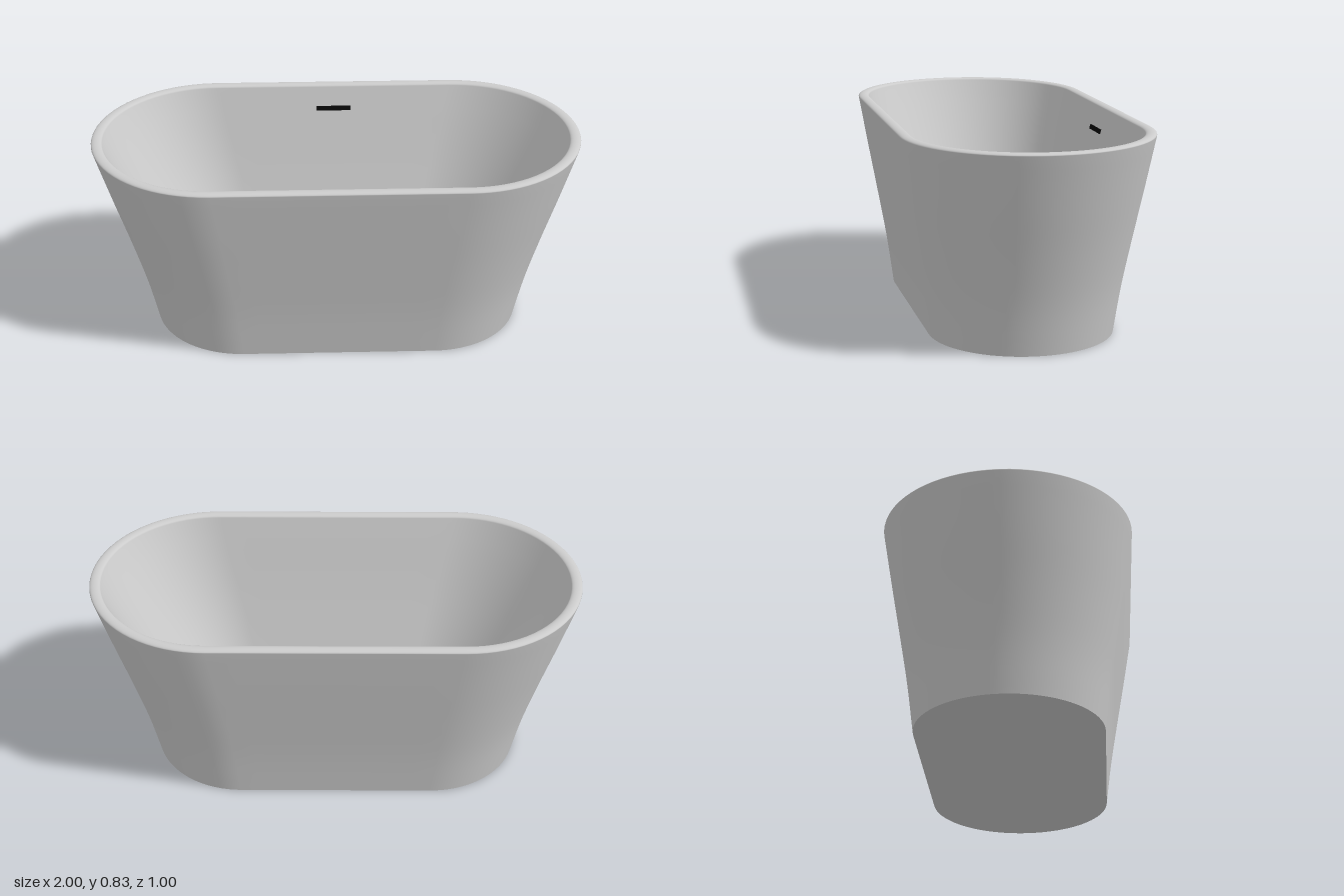
import * as THREE from 'three';

const ARC = 40, STRAIGHT = 10;

// Stadium outline: half-length a, half-width b, semicircular ends
function stadium(a, b) {
  const s = a - b, pts = [];
  for (const side of [1, -1]) {
    for (let i = 0; i <= ARC; i++) {
      const t = -Math.PI / 2 + (Math.PI * i) / ARC;
      pts.push(new THREE.Vector2(side * (s + b * Math.cos(t)), side * b * Math.sin(t)));
    }
    for (let i = 1; i < STRAIGHT; i++) {
      pts.push(new THREE.Vector2(side * s * (1 - (2 * i) / STRAIGHT), side * b));
    }
  }
  return pts;
}

// Smooth skin through stadium sections given as [y, a, b]
function loft(rows) {
  const pos = [], idx = [];
  let n = 0;
  for (const [y, a, b] of rows) {
    const ring = stadium(a, b);
    n = ring.length;
    for (const p of ring) pos.push(p.x, y, p.y);
  }
  for (let r = 0; r < rows.length - 1; r++) {
    for (let i = 0; i < n; i++) {
      const p = r * n + i, q = r * n + ((i + 1) % n);
      idx.push(p, p + n, q, q, p + n, q + n);
    }
  }
  const g = new THREE.BufferGeometry();
  g.setAttribute('position', new THREE.Float32BufferAttribute(pos, 3));
  g.setIndex(idx);
  g.computeVertexNormals();
  return g;
}

// Resample a few sections along a smooth curve
function smoothRows(rows, count) {
  const curve = new THREE.CatmullRomCurve3(rows.map((r) => new THREE.Vector3(...r)));
  return curve.getPoints(count).map((p) => p.toArray());
}

export function createModel() {
  const group = new THREE.Group();
  const grey = new THREE.MeshStandardMaterial({ color: 0xcccccc });
  const add = (name, geometry, material = grey) => {
    const mesh = new THREE.Mesh(geometry, material);
    mesh.name = name;
    group.add(mesh);
    return mesh;
  };

  // Flared outer wall, rounded rim and sloping inner wall as one skin
  const outer = smoothRows([
    [0, 0.77, 0.375], [0.2, 0.815, 0.4], [0.4, 0.872, 0.432],
    [0.6, 0.934, 0.465], [0.82, 1, 0.5],
  ], 16);
  const rim = [];
  for (let i = 1; i < 12; i++) {
    const t = (Math.PI * i) / 12, inset = 0.0225 * (1 - Math.cos(t));
    rim.push([0.82 + 0.01 * Math.sin(t), 1 - inset, 0.5 - inset]);
  }
  const inner = smoothRows([
    [0.82, 0.955, 0.455], [0.73, 0.91, 0.43], [0.5, 0.79, 0.367],
    [0.3, 0.682, 0.307], [0.15, 0.6, 0.26],
  ], 16);
  add('tubShell', loft([...outer, ...rim, ...inner]));

  // Flat basin floor and underside
  add('basinFloor', new THREE.ShapeGeometry(new THREE.Shape(stadium(0.6, 0.26)))
    .rotateX(-Math.PI / 2).translate(0, 0.15, 0));
  add('underside', new THREE.ShapeGeometry(new THREE.Shape(stadium(0.77, 0.375)))
    .rotateX(Math.PI / 2));

  // Drain cover in the middle of the floor
  const drain = add('drain', new THREE.CylinderGeometry(0.036, 0.036, 0.006, 40),
    new THREE.MeshStandardMaterial({ color: 0xc4d2dc }));
  drain.position.y = 0.152;

  // Overflow slot on the back inner wall
  const slot = add('overflowSlot', new THREE.BoxGeometry(0.148, 0.02, 0.006),
    new THREE.MeshStandardMaterial({ color: 0x080808 }));
  slot.position.set(0, 0.73, -0.43);
  slot.rotation.x = -0.27;

  return group;
}
